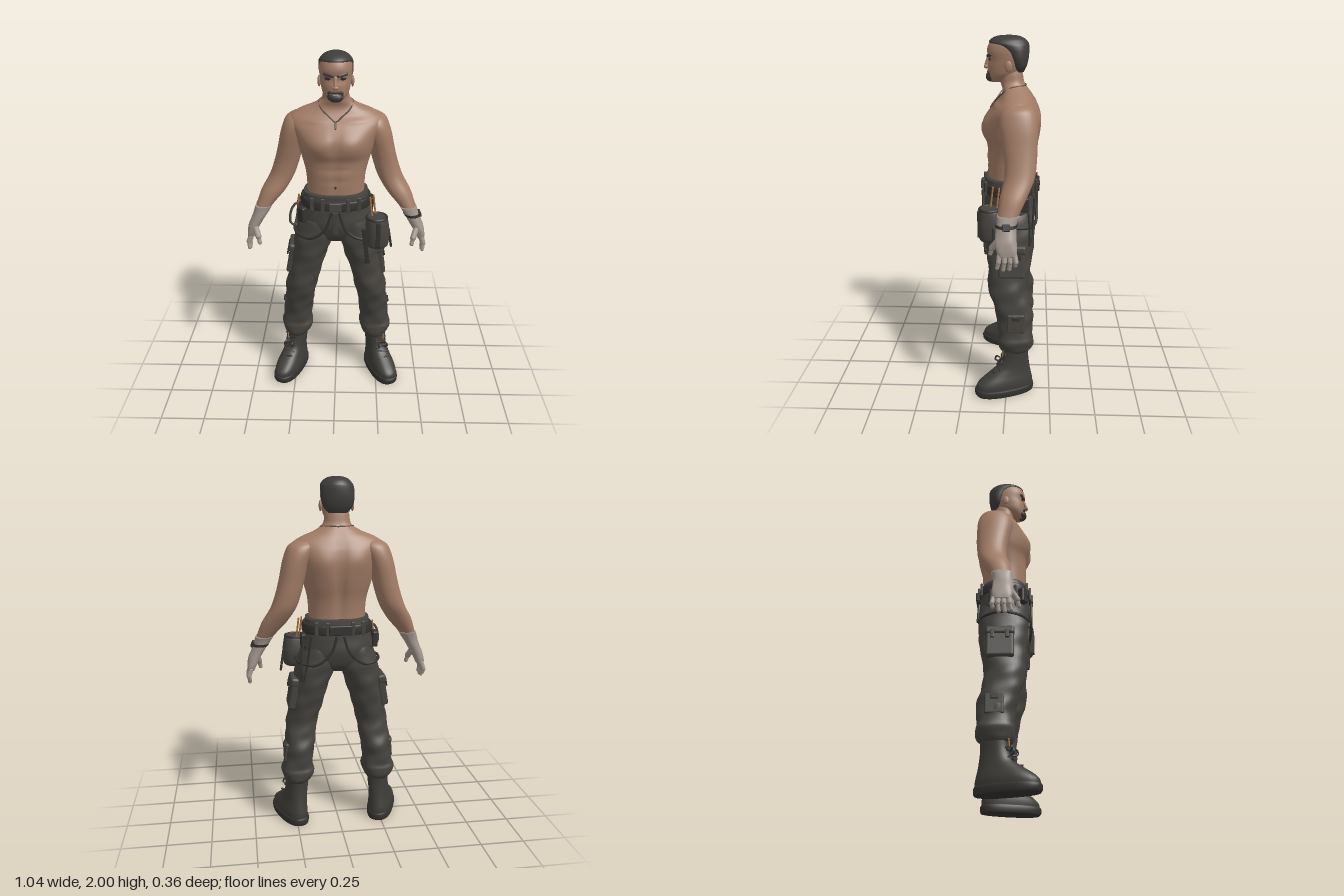
import * as THREE from 'three';
import { RoundedBoxGeometry } from 'three/addons/geometries/RoundedBoxGeometry.js';

const paint = (name, color) => Object.assign(new THREE.MeshStandardMaterial({ color }), { name });
const skin = paint('skin', 0xa27c66), cloth = paint('trouser cloth', 0x46433e), leather = paint('boot leather', 0x3f3d38);
const hairCol = paint('hair', 0x3f3d3b), gloveCol = paint('glove', 0xa1958c), dark = paint('dark webbing', 0x34322f);
const rope = paint('tan cord', 0xa8703f), steel = paint('dull metal', 0x4a4844), chain = paint('necklace', 0x5f4d42);
const V = (x, y, z) => new THREE.Vector3(x, y, z);

// Smooth stack of superellipse rings; rows are [y, centreX, halfWidth, zFront, zBack], bottom to top
function loft(rows, { n = 2.2, seg = 32, steps = 5, warp } = {}) {
  const pos = [], idx = [], last = rows.length - 1, count = last * steps;
  const at = (t, k) => {
    const i = Math.min(Math.floor(t), last - 1), u = t - i;
    const p = j => rows[Math.max(0, Math.min(last, j))][k];
    const [a, b, c, d] = [p(i - 1), p(i), p(i + 1), p(i + 2)];
    return b + 0.5 * u * (c - a + u * (2 * a - 5 * b + 4 * c - d + u * (3 * (b - c) + d - a)));
  };
  const pow = v => Math.sign(v) * Math.abs(v) ** (2 / n);
  for (let j = 0; j <= count; j++) {
    const t = j / steps, [y, cx, hw, zf, zb] = [0, 1, 2, 3, 4].map(k => at(t, k));
    for (let i = 0; i < seg; i++) {
      const a = i / seg * Math.PI * 2, c = pow(Math.cos(a)), s = pow(Math.sin(a));
      const v = V(cx + c * hw, y, (zf + zb) / 2 + s * (zf - zb) / 2);
      if (warp) warp(v, c, s, a);
      pos.push(v.x, v.y, v.z);
      if (j < count) {
        const p = j * seg + i, q = j * seg + (i + 1) % seg;
        idx.push(p, p + seg, q, q, p + seg, q + seg);
      }
    }
  }
  const bottom = pos.length / 3, top = bottom + 1, e = count * seg;
  for (const r of [rows[0], rows[last]]) pos.push(r[1], r[0], (r[3] + r[4]) / 2);
  for (let i = 0; i < seg; i++) {
    const k = (i + 1) % seg;
    idx.push(bottom, i, k, top, e + k, e + i);
  }
  const g = new THREE.BufferGeometry();
  g.setAttribute('position', new THREE.Float32BufferAttribute(pos, 3));
  g.setIndex(idx);
  g.computeVertexNormals();
  return g;
}

const bell = (d, w) => Math.exp(-d * d / (w * w));
// Slanted cloth folds pushed along the ring direction
const folds = amp => (v, c, s, a) => {
  const f = amp * (Math.sin(v.y * 48 + a * 3) * Math.sin(v.y * 17 - a) + 0.7 * Math.sin(v.y * 31 - a * 4));
  v.x += c * f; v.z += s * f;
};

export function createModel() {
  const root = new THREE.Group();
  root.name = 'figure';
  const add = (name, geo, mat, parent = root, p) => {
    const m = new THREE.Mesh(geo, mat);
    m.name = name;
    if (p) m.position.set(...p);
    parent.add(m);
    return m;
  };
  const box = (name, size, p, mat, rot = [0, 0, 0], parent = root) =>
    add(name, new RoundedBoxGeometry(...size, 2, Math.min(...size) * 0.3), mat, parent, p).rotation.set(...rot);
  const ball = (name, p, scale, mat, parent = root) =>
    add(name, new THREE.SphereGeometry(1, 16, 12), mat, parent, p).scale.set(...scale);
  const cord = (name, pts, r, mat, parent = root, closed = false) =>
    add(name, new THREE.TubeGeometry(new THREE.CatmullRomCurve3(pts.map(p => V(...p)), closed), 40, r, 6, closed), mat, parent);
  const rod = (name, a, b, r, mat, parent = root) => {
    const A = V(...a), B = V(...b), d = B.clone().sub(A);
    const m = add(name, new THREE.CapsuleGeometry(r, d.length(), 4, 10), mat, parent, A.add(B).multiplyScalar(0.5).toArray());
    m.quaternion.setFromUnitVectors(V(0, 1, 0), d.normalize());
  };

  // Bare torso and neck, with chest, belly, shoulder blade and spine relief
  add('torso', loft([
    [1.14, 0, 0.165, 0.105, -0.14], [1.24, 0, 0.16, 0.11, -0.135], [1.34, 0, 0.166, 0.115, -0.145],
    [1.42, 0, 0.186, 0.115, -0.165], [1.48, 0, 0.203, 0.132, -0.176], [1.55, 0, 0.222, 0.13, -0.178],
    [1.61, 0, 0.25, 0.098, -0.166], [1.65, 0, 0.25, 0.062, -0.15], [1.685, 0, 0.2, 0.038, -0.132],
    [1.715, 0, 0.128, 0.03, -0.112], [1.75, 0, 0.078, 0.04, -0.09], [1.8, 0, 0.068, 0.05, -0.08],
    [1.85, 0, 0.06, 0.05, -0.07]], {
    n: 2.25, seg: 56, steps: 7, warp: (v, c, s) => {
      if (s > 0) {
        v.z += s * 0.018 * bell(Math.abs(v.x) - 0.095, 0.075) * bell(v.y - 1.52, 0.055);
        v.z -= s * 0.008 * bell(v.x, 0.02) * bell(v.y - 1.53, 0.09);
        v.z -= s * 0.007 * bell(v.x, 0.016) * bell(v.y - 1.33, 0.1);
        v.z -= s * 0.004 * (bell(v.y - 1.385, 0.012) + bell(v.y - 1.32, 0.012)) * bell(v.x, 0.08);
        v.z += s * 0.01 * bell(v.y - 1.645, 0.014) * bell(Math.abs(v.x) - 0.11, 0.07);
      } else {
        v.z -= s * 0.022 * bell(v.x, 0.025) * bell(v.y - 1.42, 0.2);
        v.z += s * 0.014 * bell(Math.abs(v.x) - 0.11, 0.06) * bell(v.y - 1.56, 0.07);
      }
    }
  }), skin);
  ball('navel', [0, 1.285, 0.107], [0.006, 0.009, 0.003], dark);

  // Head and face
  const head = new THREE.Group();
  head.name = 'head';
  root.add(head);
  add('face', loft([
    [1.757, 0, 0.03, 0.1, 0.02], [1.772, 0, 0.05, 0.106, -0.01], [1.8, 0, 0.07, 0.109, -0.06],
    [1.84, 0, 0.08, 0.11, -0.088], [1.875, 0, 0.085, 0.104, -0.1], [1.92, 0, 0.087, 0.113, -0.105],
    [1.96, 0, 0.079, 0.1, -0.1], [1.98, 0, 0.06, 0.075, -0.085], [1.99, 0, 0.02, 0.03, -0.05]], { n: 2.2 }), skin, head);
  add('croppedHair', loft([
    [1.81, 0, 0.05, -0.04, -0.085], [1.84, 0, 0.078, -0.02, -0.1], [1.88, 0, 0.09, 0.0, -0.11],
    [1.92, 0, 0.092, 0.03, -0.113], [1.95, 0, 0.09, 0.075, -0.112], [1.964, 0, 0.084, 0.103, -0.107],
    [1.982, 0, 0.068, 0.088, -0.09], [1.995, 0, 0.042, 0.06, -0.06], [2, 0, 0.01, 0.02, -0.03]], { n: 2.1 }), hairCol, head);
  rod('noseBridge', [0, 1.885, 0.106], [0, 1.843, 0.12], 0.009, skin, head);
  ball('noseTip', [0, 1.836, 0.118], [0.018, 0.011, 0.013], skin, head);
  ball('chinBeard', [0, 1.782, 0.088], [0.042, 0.027, 0.033], hairCol, head);
  rod('moustache', [-0.026, 1.81, 0.103], [0.026, 1.81, 0.103], 0.009, hairCol, head);
  rod('lips', [-0.011, 1.797, 0.116], [0.011, 1.797, 0.116], 0.004, skin, head);
  for (const s of [1, -1]) {
    ball('ear', [s * 0.088, 1.845, -0.005], [0.009, 0.03, 0.02], skin, head);
    rod('eyebrow', [s * 0.016, 1.894, 0.107], [s * 0.056, 1.902, 0.09], 0.008, hairCol, head);
    ball('eye', [s * 0.036, 1.882, 0.096], [0.021, 0.011, 0.006], dark, head);
    rod('beardEdge', [s * 0.032, 1.808, 0.096], [s * 0.034, 1.785, 0.092], 0.009, hairCol, head);
  }

  // Thin necklace resting on the collarbones, with pendant
  cord('necklace', [[0, 1.645, 0.077], [0.035, 1.67, 0.057], [0.073, 1.7, 0.032], [0.092, 1.735, -0.02],
    [0.065, 1.74, -0.073], [0, 1.74, -0.097], [-0.065, 1.74, -0.073], [-0.092, 1.735, -0.02],
    [-0.073, 1.7, 0.032], [-0.035, 1.67, 0.057]], 0.004, chain, root, true);
  rod('pendant', [0, 1.64, 0.08], [0, 1.615, 0.095], 0.006, chain);

  // Arms, gloves and hands
  for (const s of [1, -1]) {
    const side = s > 0 ? 'left' : 'right';
    const arm = new THREE.Group();
    arm.name = side + 'Arm';
    root.add(arm);
    const R = rows => rows.map(([y, x, ...r]) => [y, x * s, ...r]);
    add('armSkin', loft(R([
      [1.08, 0.432, 0.036, 0.04, -0.05], [1.12, 0.415, 0.043, 0.04, -0.065], [1.16, 0.392, 0.053, 0.036, -0.085],
      [1.22, 0.354, 0.068, 0.028, -0.115], [1.3, 0.306, 0.07, 0.01, -0.15], [1.38, 0.277, 0.07, 0.01, -0.16],
      [1.46, 0.256, 0.07, 0.022, -0.163], [1.54, 0.236, 0.073, 0.036, -0.165], [1.6, 0.214, 0.077, 0.038, -0.16],
      [1.64, 0.198, 0.073, 0.02, -0.145], [1.665, 0.185, 0.05, -0.015, -0.115]])), skin, arm);
    add('glove', loft(R([
      [0.94, 0.492, 0.02, 0.035, -0.06], [0.97, 0.485, 0.027, 0.044, -0.064], [1.01, 0.47, 0.033, 0.05, -0.062],
      [1.05, 0.45, 0.037, 0.047, -0.058], [1.09, 0.43, 0.042, 0.045, -0.06], [1.135, 0.409, 0.049, 0.044, -0.074]]),
      { n: 2.5, warp: folds(0.0015) }), gloveCol, arm);
    for (let i = 0; i < 4; i++) {
      const z = 0.026 - i * 0.026, tip = [0.878, 0.868, 0.872, 0.893][i];
      rod('fingerBase', [s * 0.492, 0.95, z], [s * 0.505, 0.912, z * 1.15], 0.0135, gloveCol, arm);
      rod('fingerTip', [s * 0.505, 0.912, z * 1.15], [s * 0.5, tip, z * 1.2 + 0.006], 0.011, gloveCol, arm);
    }
    rod('thumbBase', [s * 0.46, 1.01, 0.035], [s * 0.442, 0.965, 0.066], 0.018, gloveCol, arm);
    rod('thumbTip', [s * 0.442, 0.965, 0.066], [s * 0.434, 0.93, 0.076], 0.012, gloveCol, arm);
    if (s > 0) {
      add('watchStrap', loft(R([[1.078, 0.436, 0.044, 0.048, -0.062], [1.093, 0.429, 0.046, 0.049, -0.066]])), dark, arm);
      box('watch', [0.014, 0.036, 0.04], [0.478, 1.088, -0.008], dark, [0, 0, 0.4], arm);
    }
  }

  // Trousers: hips, legs and cargo pockets
  add('hips', loft([
    [0.93, 0, 0.07, 0.05, -0.09], [0.97, 0, 0.165, 0.1, -0.135], [1.05, 0, 0.207, 0.13, -0.16],
    [1.15, 0, 0.192, 0.13, -0.157], [1.24, 0, 0.178, 0.124, -0.148]], { n: 2.4, seg: 40, warp: folds(0.0015) }), cloth);
  for (const s of [1, -1]) {
    const leg = new THREE.Group();
    leg.name = (s > 0 ? 'left' : 'right') + 'Leg';
    root.add(leg);
    add('trouserLeg', loft([
      [0.26, 0.243, 0.064, 0.035, -0.125], [0.285, 0.24, 0.083, 0.046, -0.148], [0.33, 0.239, 0.096, 0.052, -0.157],
      [0.365, 0.237, 0.089, 0.045, -0.148], [0.42, 0.232, 0.084, 0.05, -0.148], [0.48, 0.225, 0.086, 0.062, -0.15],
      [0.56, 0.215, 0.089, 0.085, -0.13], [0.64, 0.203, 0.091, 0.104, -0.115], [0.76, 0.173, 0.095, 0.108, -0.135],
      [0.88, 0.146, 0.105, 0.12, -0.15], [0.98, 0.12, 0.113, 0.125, -0.155], [1.08, 0.105, 0.09, 0.115, -0.14]]
      .map(([y, x, ...r]) => [y, x * s, ...r]), { n: 2.2, steps: 8, warp: folds(0.0032) }), cloth, leg);
    box('cargoPocket', [0.045, 0.17, 0.15], [s * 0.257, 0.8, -0.03], cloth, [0, 0, s * 0.17], leg);
    box('pocketFlap', [0.05, 0.05, 0.158], [s * 0.25, 0.875, -0.03], cloth, [0, 0, s * 0.17], leg);
    for (const z of [-0.07, 0.01]) box('pocketTab', [0.01, 0.05, 0.022], [s * 0.279, 0.85, z], dark, [0, 0, s * 0.17], leg);
    box('shinPocket', [0.03, 0.11, 0.1], [s * 0.301, 0.45, -0.055], cloth, [0, 0, s * 0.08], leg);
    box('shinTab', [0.014, 0.025, 0.04], [s * 0.315, 0.485, -0.055], dark, [0, 0, s * 0.08], leg);
    cord('thighStrap', [[0.02, 1.15, 0.142], [0.06, 1.04, 0.138], [0.14, 0.985, 0.128], [0.215, 0.99, 0.075],
      [0.238, 1.0, -0.02], [0.213, 0.99, -0.11], [0.13, 0.99, -0.157], [0.05, 1.06, -0.164], [0.02, 1.15, -0.163]]
      .map(([x, y, z]) => [s * x, y, z]), 0.008, dark, leg);

    // Boot turned outward, with sole, laces and bow
    const boot = new THREE.Group();
    boot.name = (s > 0 ? 'left' : 'right') + 'Boot';
    boot.position.set(s * 0.258, 0, -0.04);
    boot.rotation.y = s * 0.36;
    root.add(boot);
    add('bootUpper', loft([
      [0.02, 0.004 * s, 0.07, 0.222, -0.112], [0.06, 0.004 * s, 0.073, 0.222, -0.113], [0.09, 0.003 * s, 0.07, 0.195, -0.108],
      [0.13, 0, 0.062, 0.135, -0.1], [0.17, -0.003 * s, 0.058, 0.085, -0.094], [0.23, -0.008 * s, 0.06, 0.064, -0.09],
      [0.31, -0.01 * s, 0.065, 0.062, -0.095]], { n: 2.3 }), leather, boot);
    add('sole', loft([[0, 0.004 * s, 0.074, 0.222, -0.114], [0.012, 0.004 * s, 0.078, 0.231, -0.119],
      [0.035, 0.004 * s, 0.078, 0.233, -0.119], [0.045, 0.004 * s, 0.073, 0.226, -0.113]], { n: 2.4, steps: 2 }), dark, boot);
    for (let i = 0; i < 6; i++) {
      const y = 0.135 + i * 0.025, z = [0.132, 0.1, 0.082, 0.073, 0.069, 0.067][i], d = i % 2 ? 0.008 : -0.008;
      rod('lace', [-0.03, y + d, z - 0.01], [0.03, y - d, z - 0.01], 0.005, dark, boot);
    }
    for (const k of [1, -1]) cord('laceBow', [[0, 0.205, 0.068], [k * 0.022, 0.222, 0.092], [k * 0.028, 0.2, 0.1],
      [k * 0.012, 0.19, 0.08]], 0.005, dark, boot, true);
    rod('tanLaceTag', [0.012 * s, 0.235, 0.07], [0.016 * s, 0.27, 0.068], 0.004, rope, boot);
  }

  // Belt, buckle, loops and fly
  add('belt', loft([[1.155, 0, 0.196, 0.137, -0.162], [1.165, 0, 0.2, 0.141, -0.166], [1.2, 0, 0.198, 0.14, -0.165],
    [1.21, 0, 0.192, 0.135, -0.16]], { n: 2.4, seg: 40, steps: 2 }), dark);
  box('buckle', [0.07, 0.05, 0.02], [0, 1.183, 0.143], steel);
  box('fly', [0.03, 0.14, 0.012], [0, 1.08, 0.13], cloth, [0.05, 0, 0]);
  for (const x of [-0.13, -0.07, 0.07, 0.13]) {
    box('beltLoop', [0.022, 0.08, 0.014], [x, 1.19, 0.142 - x * x * 1.5], cloth);
    box('rearBeltLoop', [0.022, 0.08, 0.014], [x, 1.19, -0.167 + x * x * 1.5], cloth);
  }
  box('rearBeltPad', [0.13, 0.055, 0.022], [0, 1.185, -0.168], dark);

  // Gear hung on the belt
  add('hipPouch', loft([[0.93, 0.235, 0.05, 0.14, 0.05], [0.95, 0.237, 0.063, 0.15, 0.03], [1.02, 0.237, 0.067, 0.153, 0.02],
    [1.09, 0.232, 0.062, 0.148, 0.03], [1.11, 0.23, 0.056, 0.14, 0.04]], { n: 2.4 }), cloth);
  add('pouchRim', new THREE.TorusGeometry(0.056, 0.008, 8, 24), dark, root, [0.23, 1.105, 0.09]).rotation.x = Math.PI / 2;
  box('pouchStrap', [0.025, 0.15, 0.01], [0.238, 1.02, 0.153], dark);
  rod('pouchCord', [0.3, 1.02, 0.07], [0.318, 0.91, 0.06], 0.007, dark);
  for (const [x, z] of [[0.192, 0.075], [0.212, 0.04]]) rod('tanCord', [x, 1.215, z], [x + 0.012, 1.11, z + 0.012], 0.005, rope);
  rod('rightTanCord', [-0.208, 1.2, 0.0], [-0.216, 1.13, 0.0], 0.005, rope);
  box('hangingStrap', [0.024, 0.22, 0.012], [0.17, 0.945, 0.128], dark, [0.06, 0, 0.12]);
  box('strapEnd', [0.034, 0.03, 0.016], [0.182, 0.84, 0.118], dark);
  box('smallPouch', [0.05, 0.09, 0.04], [-0.185, 1.12, 0.095], dark, [0, -0.7, 0]);
  box('sidePouch', [0.03, 0.09, 0.07], [-0.208, 1.11, -0.06], dark);
  box('rearPouch', [0.03, 0.08, 0.07], [0.2, 1.12, -0.085], dark);
  cord('carabiner', [[-0.215, 1.17, 0.05], [-0.245, 1.14, 0.06], [-0.255, 1.06, 0.065], [-0.235, 1.04, 0.06],
    [-0.22, 1.08, 0.05]], 0.007, steel, root, true);
  cord('sideChain', [[0.19, 1.16, -0.11], [0.215, 1.0, -0.125], [0.205, 0.88, -0.125], [0.19, 0.95, -0.138],
    [0.16, 1.15, -0.15]], 0.006, dark);
  return root;
}
